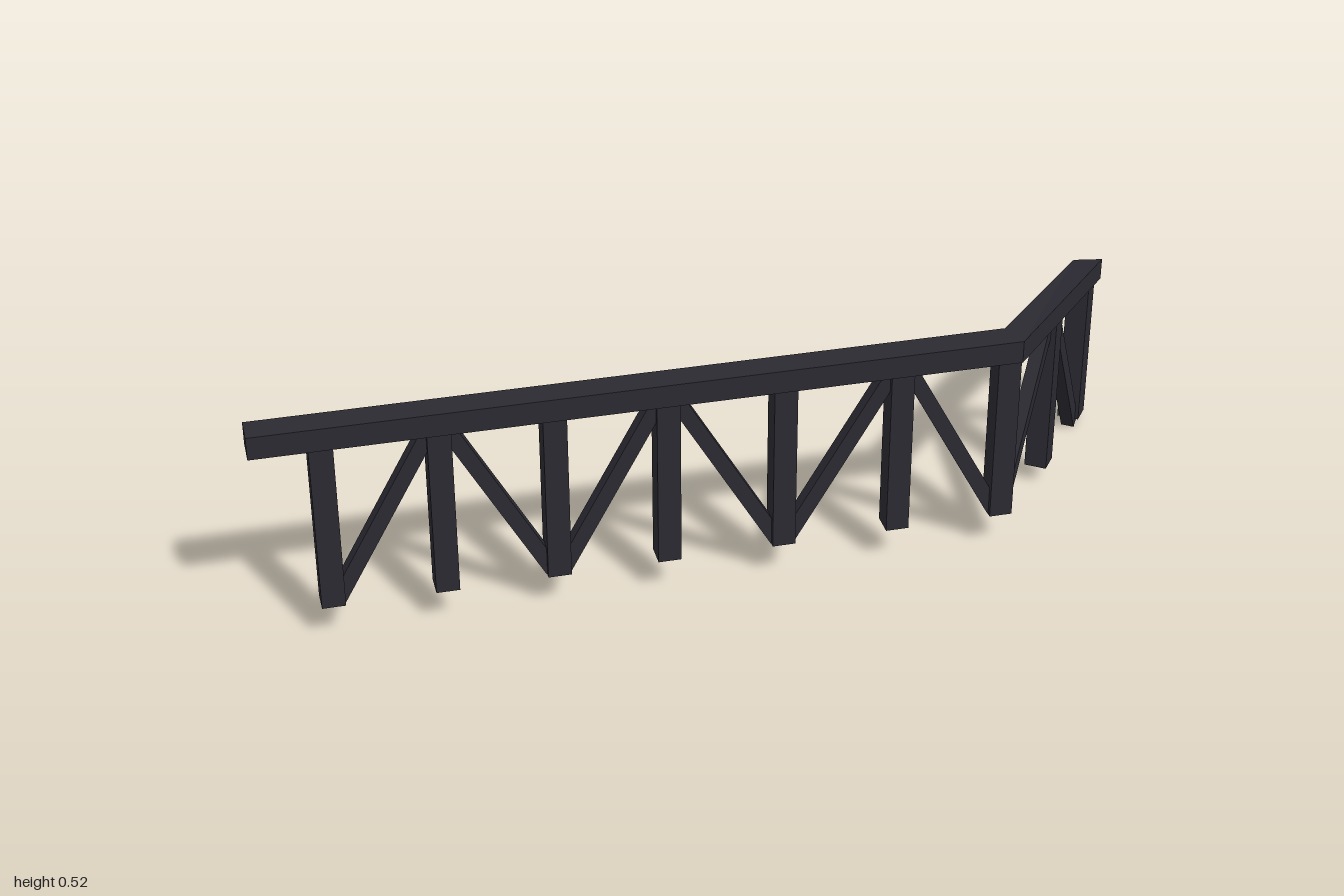
import * as THREE from 'three';

const V = (x, y, z) => new THREE.Vector3(x, y, z);

// Square timber running from a to b, with one pair of sides facing n
function beam(name, a, b, width, depth, n, material) {
  const up = b.clone().sub(a);
  const length = up.length();
  up.normalize();
  const side = up.clone().cross(n).normalize();
  const geometry = new THREE.BoxGeometry(width, length, depth);
  geometry.applyMatrix4(new THREE.Matrix4().makeBasis(side, up, n));
  const mesh = new THREE.Mesh(geometry, material);
  mesh.position.copy(a).add(b).multiplyScalar(0.5);
  mesh.name = name;
  return mesh;
}

// Handrail lofted through mitred sections: [outer x, outer z, inner x, inner z, bottom, top]
function railGeometry(sections) {
  const rings = sections.map(([ox, oz, ix, iz, lo, hi]) =>
    [V(ox, lo, oz), V(ox, hi, oz), V(ix, hi, iz), V(ix, lo, iz)]);
  const points = [];
  const quad = (a, b, c, d) => points.push(a, b, c, a, c, d);
  for (let i = 0; i < rings.length - 1; i++) {
    for (let k = 0; k < 4; k++) {
      const m = (k + 1) % 4;
      quad(rings[i][k], rings[i + 1][k], rings[i + 1][m], rings[i][m]);
    }
  }
  quad(...rings[0]);
  quad(...rings[rings.length - 1].slice().reverse());
  const geometry = new THREE.BufferGeometry().setFromPoints(points);
  geometry.computeVertexNormals();
  return geometry;
}

export function createModel() {
  const group = new THREE.Group();
  group.name = 'railing';
  const dark = new THREE.MeshStandardMaterial({ color: 0x2b2a32 });
  dark.name = 'dark iron';

  const rail = new THREE.Mesh(railGeometry([
    [-1, 0.262, -1, 0.198, 0.466, 0.517],
    [0.62, 0.262, 0.6, 0.198, 0.466, 0.517],
    [1, -0.25, 0.935, -0.262, 0.354, 0.404],
  ]), dark);
  rail.name = 'handrail';
  group.add(rail);

  // Level run: posts, with braces rising from every other foot
  const front = V(0, 0, 1);
  const posts = [-0.855, -0.617, -0.38, -0.143, 0.107, 0.36, 0.595];
  posts.forEach((x, i) => {
    group.add(beam('post', V(x, 0.085, 0.231), V(x, 0.48, 0.231), 0.05, 0.052, front, dark));
    if (i % 2 === 0) return;
    for (const s of [-1, 1]) {
      const foot = V(posts[i + s] - s * 0.012, 0.094, 0.231);
      group.add(beam('brace', foot, V(x + s * 0.009, 0.485, 0.231), 0.033, 0.03, front, dark));
    }
  });

  // Sloping run, turned towards the back
  const turned = V(0.808, 0, 0.589).normalize();
  for (const [x, z, lo, hi] of [[0.775, 0.007, 0.045, 0.43], [0.94, -0.22, 0.019, 0.378]]) {
    group.add(beam('slopePost', V(x, lo, z), V(x, hi, z), 0.05, 0.05, turned, dark));
  }
  group.add(beam('slopeBrace', V(0.597, 0.08, 0.237), V(0.77, 0.425, 0.012), 0.033, 0.03, turned, dark));
  group.add(beam('slopeBrace', V(0.932, 0.009, -0.205), V(0.782, 0.425, -0.002), 0.033, 0.03, turned, dark));

  return group;
}
